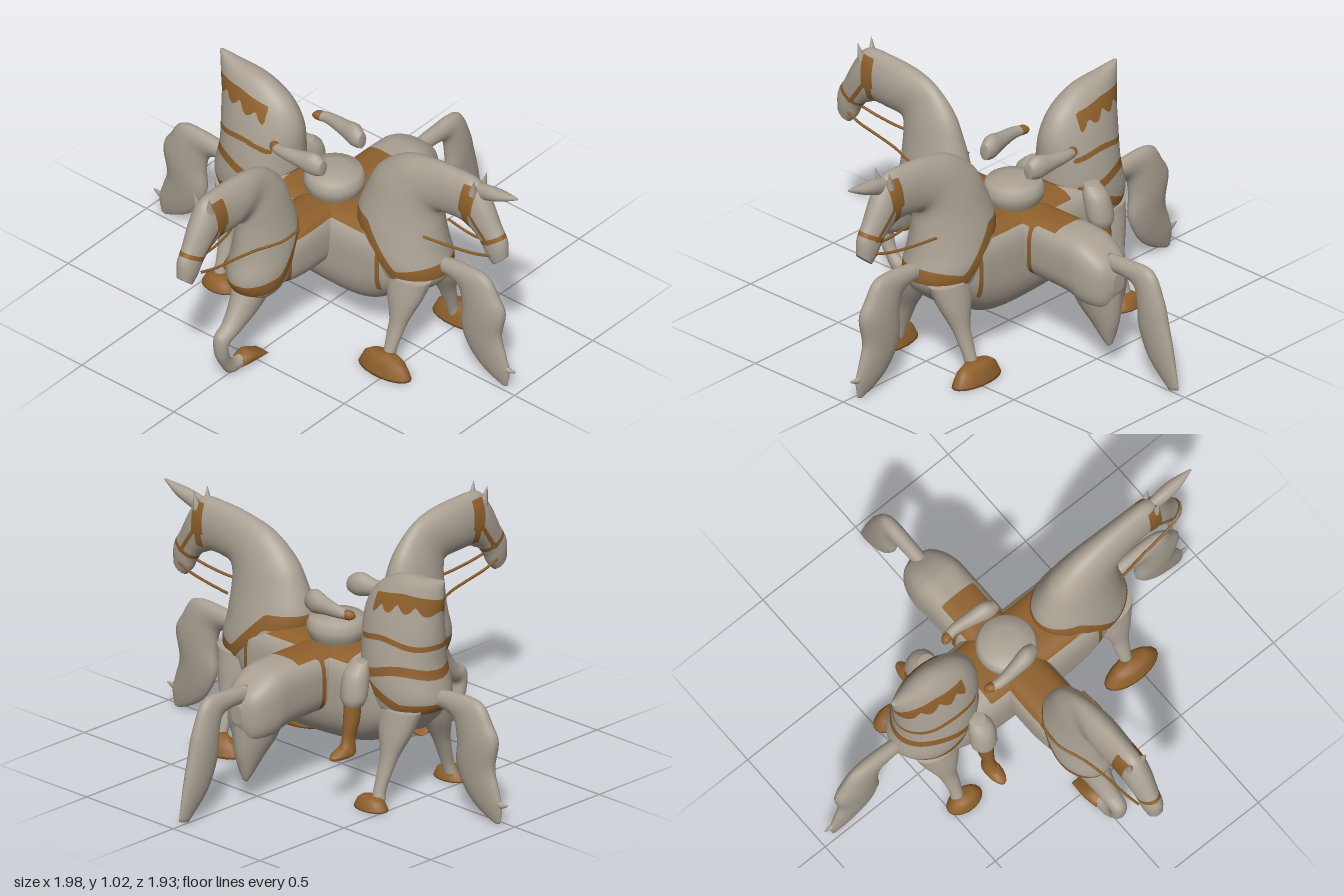
import * as THREE from 'three';

const stone = new THREE.MeshStandardMaterial({ color: 0xaaa193 });
stone.name = 'stone';
const leather = new THREE.MeshStandardMaterial({ color: 0x8f602c });
leather.name = 'leather';

// Smooth blend of four rows of numbers
const blend = (a, b, c, d, t) => b.map((_, i) => 0.5 * (2 * b[i] + (c[i] - a[i]) * t
  + (2 * a[i] - 5 * b[i] + 4 * c[i] - d[i]) * t * t
  + (3 * b[i] - a[i] - 3 * c[i] + d[i]) * t * t * t));
const { min, max, abs, sin } = Math;
const band = (distance, half) => half - abs(distance);
const ramp = (v, from, to) => THREE.MathUtils.clamp((v - from) / (to - from), 0, 1);

// Skin through stations [z1, y1, z2, y2, halfWidth, xOffset]; each is an oval whose
// main axis joins the two points. Faces are cut where paint(z, y, x) turns positive.
// A power below 1 makes the oval boxier, separately for its first and second half.
function loft(name, rows, { paint, base = stone, n = 16, steps = 6, powers = [1, 1] } = {}) {
  rows = rows.map(r => [...r, 0].slice(0, 6));
  const rings = [];
  for (let i = 0; i < rows.length - 1; i++) {
    for (let s = 0; s < steps; s++) {
      rings.push(blend(rows[max(0, i - 1)], rows[i], rows[i + 1], rows[min(rows.length - 1, i + 2)], s / steps));
    }
  }
  rings.push(rows[rows.length - 1]);
  const points = [];
  for (const [z1, y1, z2, y2, w, x] of rings) {
    for (let j = 0; j < n; j++) {
      const a = j / n * Math.PI * 2, power = powers[Math.cos(a) > 0 ? 0 : 1];
      const bend = v => Math.sign(v) * abs(v) ** power;
      const c = bend(Math.cos(a)) / 2;
      points.push(new THREE.Vector3(x + max(w, 0.002) * bend(sin(a)), (y1 + y2) / 2 + c * (y1 - y2), (z1 + z2) / 2 + c * (z1 - z2)));
    }
  }
  const first = rings.length * n, e = first - n;
  for (const r of [rings[0], rings[rings.length - 1]]) points.push(new THREE.Vector3(r[5], (r[1] + r[3]) / 2, (r[0] + r[2]) / 2));
  const tris = [];
  for (let j = 0; j < n; j++) {
    const k = (j + 1) % n;
    for (let i = 0; i < e; i += n) tris.push([i + j, i + k, i + j + n], [i + k, i + k + n, i + j + n]);
    tris.push([first, k, j], [first + 1, e + j, e + k]);
  }
  // Turn the skin outward
  const volume = tris.reduce((v, [a, b, c]) => v + points[a].dot(points[b].clone().cross(points[c])), 0);
  if (volume < 0) tris.forEach(t => t.reverse());
  // Cut faces along the edge of the painted areas
  const value = points.map(p => (paint ? paint(p.z, p.y, p.x) : -1));
  const cuts = new Map();
  const cut = (i, j) => {
    const key = `${min(i, j)} ${max(i, j)}`;
    if (!cuts.has(key)) cuts.set(key, points.push(points[i].clone().lerp(points[j], value[i] / (value[i] - value[j]))) - 1);
    return cuts.get(key);
  };
  const lists = [[], []];
  for (const t of tris) {
    const parts = [[], []];
    t.forEach((i, k) => {
      const j = t[(k + 1) % 3], side = +(value[i] > 0);
      parts[side].push(i);
      if (side !== +(value[j] > 0)) parts.forEach(p => p.push(cut(i, j)));
    });
    parts.forEach((p, m) => { for (let k = 2; k < p.length; k++) lists[m].push(p[0], p[k - 1], p[k]); });
  }
  const g = new THREE.BufferGeometry().setFromPoints(points);
  g.setIndex(lists.flat());
  g.addGroup(0, lists[0].length, 0);
  g.addGroup(lists[0].length, lists[1].length, 1);
  g.computeVertexNormals();
  const mesh = new THREE.Mesh(g, paint ? [base, leather] : base);
  mesh.name = name;
  return mesh;
}

// Chest, neck and head from the bottom of the chest to the muzzle
const NECK = [
  [0.38, 0.33, 0.5, 0.30, 0.06], [0.28, 0.38, 0.58, 0.37, 0.14], [0.2, 0.5, 0.61, 0.44, 0.165],
  [0.16, 0.6, 0.59, 0.55, 0.152], [0.2, 0.73, 0.58, 0.65, 0.122], [0.26, 0.84, 0.58, 0.72, 0.1],
  [0.38, 0.935, 0.6, 0.75, 0.08], [0.52, 0.975, 0.66, 0.758, 0.068], [0.66, 0.99, 0.715, 0.757, 0.062],
  [0.77, 0.985, 0.755, 0.74, 0.06], [0.83, 0.92, 0.79, 0.72, 0.056], [0.89, 0.81, 0.82, 0.68, 0.047],
  [0.93, 0.74, 0.84, 0.64, 0.043], [0.935, 0.665, 0.87, 0.608, 0.032],
];
const TAIL = [
  [0.54, 0.49, 0.54, 0.42, 0.03], [0.65, 0.515, 0.62, 0.43, 0.033], [0.82, 0.515, 0.68, 0.4, 0.038],
  [0.89, 0.43, 0.7, 0.32, 0.045], [0.925, 0.36, 0.695, 0.22, 0.045], [0.905, 0.24, 0.725, 0.14, 0.038],
  [0.93, 0.15, 0.775, 0.075, 0.028], [0.95, 0.08, 0.84, 0.03, 0.018], [0.94, 0.005, 0.91, 0.0, 0.005],
];
const REAR_TAIL = [
  [0.57, 0.52, 0.57, 0.44, 0.03], [0.67, 0.525, 0.66, 0.445, 0.033], [0.81, 0.52, 0.72, 0.42, 0.036],
  [0.875, 0.4, 0.74, 0.33, 0.042], [0.905, 0.29, 0.745, 0.25, 0.04], [0.935, 0.17, 0.8, 0.12, 0.03], [0.965, 0.02, 0.91, 0.005, 0.008],
];

// Breast strap and bridle; the strap drops from the saddle to the front of the chest
const tack = frontY => (z, y) => max(
  band(y - (0.595 - 0.175 * ramp(z, 0.29, 0.46) + (frontY - 0.42) * ramp(z, 0.47, 0.6)), 0.033),
  min(band(z - 0.765 + 0.1 * (0.95 - y), 0.033), y - 0.84, 0.97 - y),
  min(band(z - 0.752, 0.018), 0.85 - y, y - 0.775),
  min(band((z - 0.78) * 0.8 - (0.84 - y) * 0.6, 0.009), y - 0.72, z - 0.76),
  min(band((z - 0.86) * 0.5 - (y - 0.73) * 0.86, 0.01), z - 0.8, 0.8 - y));
// Narrow strap down the side of a barrel
const girth = (z, y, at) => min(band(z - at, 0.011), y - 0.31);

function addHorseFront(group, wide, squeeze, push, strapFront, reinEnd) {
  const fit = z => (z < 0.6 ? 0.6 + (z - 0.6) * squeeze : z + push * min(1, (z - 0.6) / 0.1));
  group.add(loft('neckAndHead', NECK.map(([a, b, c, d, w]) =>
    [fit(a), b, fit(c), d, b > 0.95 || c > 0.7 ? w : w * wide]), { paint: tack(strapFront), n: 80, steps: 9 }));
  for (const s of [-1, 1]) {
    const ear = new THREE.Mesh(new THREE.ConeGeometry(0.02, 0.085, 8), stone);
    ear.name = 'ear';
    ear.position.set(s * 0.036, 0.975, 0.785 + push);
    ear.rotation.set(0.2, 0, -s * 0.12);
    group.add(ear);
    const path = new THREE.CatmullRomCurve3([[0.04, 0.67, 0.88], [0.05, 0.65, 0.8], [0.06, 0.635, 0.68], ...reinEnd]
      .map(([x, y, z]) => new THREE.Vector3(s * x, y, z)));
    const rein = new THREE.Mesh(new THREE.TubeGeometry(path, 24, 0.006, 6), leather);
    rein.name = 'rein';
    group.add(rein);
  }
}

const hoofShape = new THREE.LatheGeometry([[0, 0], [1, 0], [0.97, 0.12], [0.8, 0.65], [0.55, 0.95], [0, 1]]
  .map(p => new THREE.Vector2(...p)), 18);

function addStandingLegs(group, z, hoofZ, hoofLength, hoofHeight, hoofWidth) {
  for (const s of [-1, 1]) {
    group.add(loft('frontLeg', [
      [z - 0.11, 0.42, z + 0.12, 0.42, 0.07, s * 0.085], [z - 0.08, 0.32, z + 0.09, 0.32, 0.06, s * 0.115],
      [z - 0.04, 0.22, z + 0.05, 0.22, 0.038, s * 0.15], [z - 0.035, 0.15, z + 0.035, 0.15, 0.03, s * 0.175],
      [z - 0.03, 0.08, z + 0.025, 0.08, 0.028, s * 0.2], [z - 0.03, 0.03, z + 0.03, 0.03, 0.028, s * 0.215]]));
    const hoof = new THREE.Mesh(hoofShape, leather);
    hoof.name = 'hoof';
    hoof.scale.set(hoofWidth, hoofHeight, hoofLength);
    hoof.position.set(s * 0.236, 0, hoofZ);
    group.add(hoof);
  }
}

function addTail(group) {
  group.add(loft('tail', TAIL));
  group.add(loft('tailWisp', [[0.9, 0.13, 0.9, 0.06, 0.015], [0.95, 0.1, 0.95, 0.075, 0.01], [0.98, 0.1, 0.98, 0.09, 0.003]]));
}

export function createModel() {
  const model = new THREE.Group();
  const quarter = (name, angle, z = 0) => {
    const g = new THREE.Group();
    g.name = name;
    g.rotation.y = angle;
    g.position.z = z;
    model.add(g);
    return g;
  };
  const crossZ = -0.026; // the sideways horses and the rider sit slightly back

  // Forward horse with one bent leg
  const front = quarter('forwardHorse', 0);
  addHorseFront(front, 0.74, 0.8, 0.03, 0.4, [[0.08, 0.628, 0.57], [0.118, 0.622, 0.45], [0.112, 0.615, 0.33]]);
  front.add(loft('barrel', [
    [0.45, 0.55, 0.45, 0.36, 0.09], [0.3, 0.585, 0.3, 0.32, 0.118], [0, 0.58, 0, 0.31, 0.118], [-0.38, 0.578, -0.38, 0.3, 0.12],
    [-0.5, 0.56, -0.5, 0.27, 0.118], [-0.59, 0.5, -0.59, 0.28, 0.085], [-0.625, 0.44, -0.625, 0.36, 0.03]], {
    powers: [0.65, 0.75], n: 64, steps: 28,
    paint: (z, y, x) => max(min(z + 0.345, y - 0.55, 0.085 + 0.05 * ramp(z, -0.24, -0.2) - abs(x)),
      girth(z, y, -0.225 + 0.4 * (y - 0.45) ** 2), girth(z, y, 0.385 - 1.5 * max(0, 0.45 - y) ** 2)),
  }));
  front.add(loft('bentLeg', [
    [0.42, 0.36, 0.58, 0.4, 0.085], [0.48, 0.27, 0.62, 0.33, 0.06], [0.6, 0.2, 0.67, 0.26, 0.042], [0.665, 0.17, 0.725, 0.22, 0.036],
    [0.665, 0.13, 0.725, 0.13, 0.032], [0.645, 0.085, 0.695, 0.065, 0.026], [0.61, 0.06, 0.65, 0.005, 0.028], [0.56, 0.055, 0.56, 0.005, 0.03]]));
  front.add(loft('hoof', [[0.59, 0.05, 0.59, 0.003, 0.034], [0.53, 0.062, 0.53, 0, 0.045], [0.44, 0.01, 0.44, 0, 0.038]], { base: leather }));
  front.add(loft('hindLegStub', [[-0.38, 0.36, -0.62, 0.42, 0.11], [-0.41, 0.27, -0.622, 0.3, 0.085],
    [-0.48, 0.19, -0.615, 0.21, 0.055], [-0.54, 0.115, -0.6, 0.15, 0.03], [-0.565, 0.085, -0.585, 0.1, 0.01]]));
  quarter('rearTail', Math.PI).add(loft('tail', REAR_TAIL));

  // Left-facing horse
  const left = quarter('leftHorse', Math.PI / 2, crossZ);
  addHorseFront(left, 1, 1, 0, 0.455, [[0.08, 0.633, 0.55]]);
  left.add(loft('forelock', [[0.77, 0.975, 0.8, 0.9, 0.025], [0.85, 0.99, 0.86, 0.925, 0.03],
    [0.92, 0.995, 0.92, 0.95, 0.025], [0.995, 1.0, 0.995, 0.99, 0.004]]));
  addStandingLegs(left, 0.475, 0.475, 0.135, 0.085, 0.062);
  addTail(left);
  left.add(loft('crossBarrel', [
    [-0.52, 0.54, -0.52, 0.36, 0.11], [-0.36, 0.575, -0.36, 0.25, 0.16], [-0.2, 0.582, -0.2, 0.18, 0.174], [0.1, 0.582, 0.1, 0.155, 0.175],
    [0.27, 0.582, 0.27, 0.175, 0.173], [0.39, 0.575, 0.39, 0.25, 0.162], [0.52, 0.54, 0.52, 0.36, 0.11]],
  { powers: [0.55, 0.85], n: 64, steps: 24, paint: (z, y, x) => max(min(y - 0.55, z + 0.2, 0.158 - abs(x)), girth(z, y, 0.37)) }));

  // Headless right-hand neck with a painted mane and straps
  const right = quarter('rightHorse', -Math.PI / 2, crossZ);
  right.add(loft('neck', [
    [0.38, 0.33, 0.5, 0.31, 0.07], [0.27, 0.4, 0.57, 0.39, 0.145], [0.2, 0.54, 0.61, 0.46, 0.165], [0.19, 0.64, 0.585, 0.6, 0.155],
    [0.19, 0.78, 0.59, 0.74, 0.125], [0.245, 0.89, 0.595, 0.83, 0.095], [0.36, 0.962, 0.605, 0.89, 0.065],
    [0.5, 0.982, 0.612, 0.95, 0.035], [0.59, 0.995, 0.62, 0.995, 0.01]], {
    n: 80, steps: 9,
    paint: (z, y) => max(band(y - 0.43 - max(0, 0.5 - z) * 0.45, 0.022),
      min(band(y - 0.575 - 0.02 * sin(z * 16), 0.02), z - 0.26),
      min(band(y - 0.705 - 0.012 * sin(z * 20), 0.012), z - 0.25),
      min(z - 0.3, 0.915 - y - 0.2 * max(0, 0.45 - z), y - 0.875 + 0.04 * abs(sin(z * 36)) + 0.2 * max(0, 0.45 - z))),
  }));
  addStandingLegs(right, 0.445, 0.425, 0.085, 0.055, 0.055);
  addTail(right);

  // Rider: waist, loose arms and lower legs
  const rider = quarter('rider', -Math.PI / 2, crossZ);
  const waist = new THREE.Mesh(new THREE.LatheGeometry([[0.1, 0.56], [0.125, 0.6], [0.13, 0.635], [0.115, 0.67], [0.06, 0.683], [0, 0.686]]
    .map(p => new THREE.Vector2(...p)), 28), stone);
  waist.name = 'waist';
  rider.add(waist);
  for (const s of [-1, 1]) {
    rider.add(loft('arm', [[-0.045, 0.8, -0.045, 0.73, 0.025, s * 0.125], [0, 0.825, 0, 0.72, 0.038, s * 0.132], [0.07, 0.81, 0.07, 0.735, 0.032, s * 0.142],
      [0.15, 0.8, 0.15, 0.745, 0.024, s * 0.15], [0.2, 0.79, 0.2, 0.75, 0.022, s * 0.145]]));
    rider.add(loft('hand', [[0.19, 0.792, 0.19, 0.748, 0.023, s * 0.146], [0.215, 0.79, 0.215, 0.75, 0.02, s * 0.14], [0.23, 0.775, 0.23, 0.76, 0.008, s * 0.135]],
      { base: leather }));
    rider.add(loft('knee', [[0.26, 0.6, 0.33, 0.6, 0.03, s * 0.165], [0.24, 0.55, 0.35, 0.55, 0.055, s * 0.19],
      [0.24, 0.46, 0.36, 0.46, 0.055, s * 0.21], [0.26, 0.42, 0.345, 0.42, 0.042, s * 0.215]]));
    rider.add(loft('boot', [[0.265, 0.46, 0.335, 0.46, 0.038, s * 0.215], [0.268, 0.36, 0.335, 0.36, 0.038, s * 0.225],
      [0.275, 0.28, 0.325, 0.28, 0.032, s * 0.24], [0.27, 0.22, 0.335, 0.22, 0.045, s * 0.255], [0.275, 0.205, 0.33, 0.205, 0.035, s * 0.26]], { base: leather }));
    rider.add(loft('toe', [[0.275, 0.245, 0.325, 0.245, 0.035, s * 0.265], [0.265, 0.22, 0.335, 0.22, 0.068, s * 0.275],
      [0.27, 0.205, 0.33, 0.205, 0.068, s * 0.28]], { base: leather }));
  }
  return model;
}
